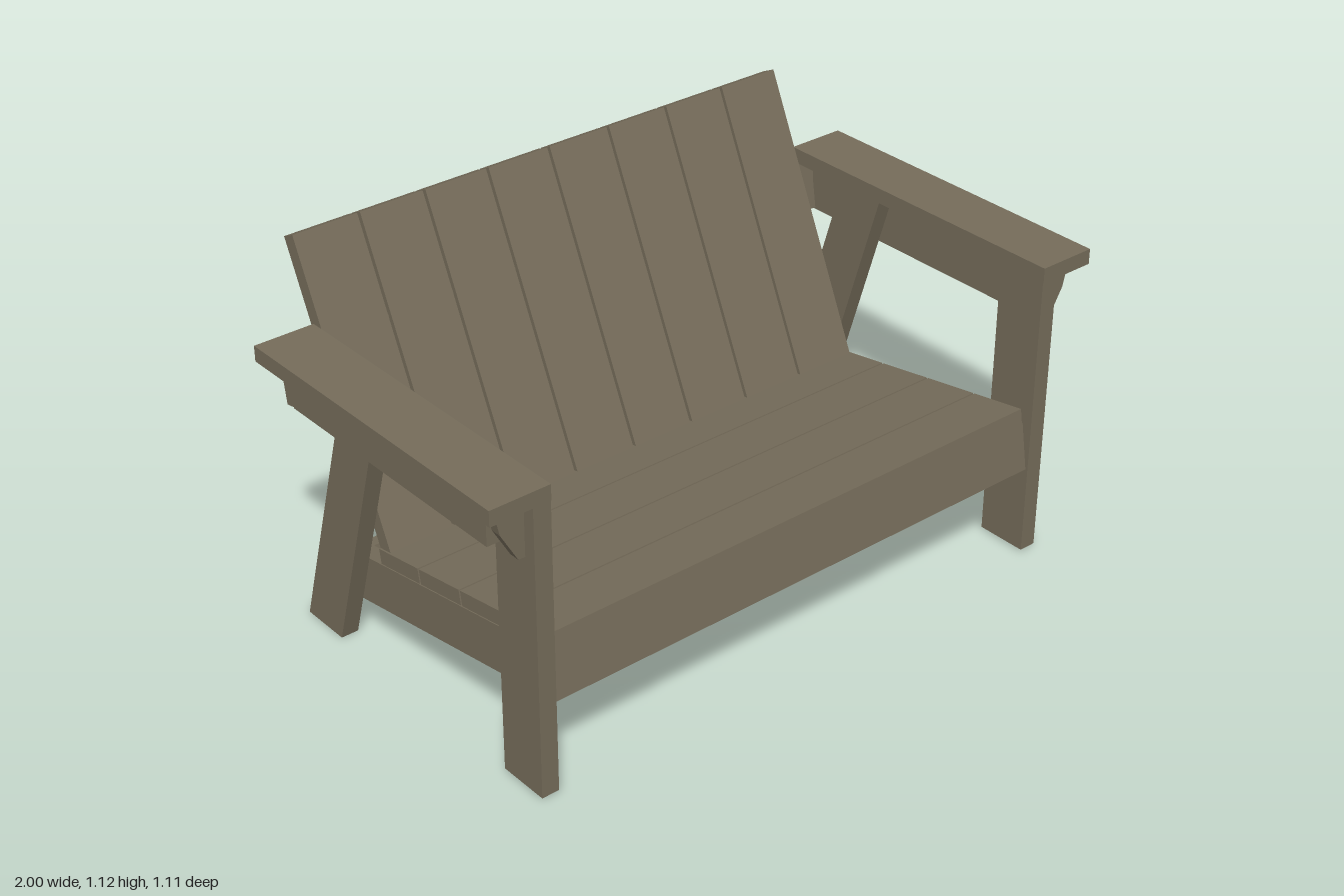
import * as THREE from 'three';

const wood = new THREE.MeshStandardMaterial({ color: 0x756c5a, flatShading: true });

function add(parent, name, geometry) {
  const mesh = new THREE.Mesh(geometry, wood);
  mesh.name = name;
  parent.add(mesh);
  return mesh;
}

// Plank given by its limits along each axis
function plank(parent, name, [x0, x1], [y0, y1], [z0, z1]) {
  const g = new THREE.BoxGeometry(x1 - x0, y1 - y0, z1 - z0);
  g.translate((x0 + x1) / 2, (y0 + y1) / 2, (z0 + z1) / 2);
  return add(parent, name, g);
}

// Straight-sided outline extruded to a depth
function extrude(points, depth) {
  const shape = new THREE.Shape(points.map(([a, b]) => new THREE.Vector2(a, b)));
  return new THREE.ExtrudeGeometry(shape, { depth, bevelEnabled: false });
}

// Tilted sub-assembly hinged on a line parallel to x
function tilted(parent, name, y, z, angle) {
  const group = new THREE.Group();
  group.name = name;
  group.position.set(0, y, z);
  group.rotation.x = angle;
  parent.add(group);
  return group;
}

const side = (s, a, b) => (s > 0 ? [a, b] : [-b, -a]);

export function createModel() {
  const bench = new THREE.Group();
  bench.name = 'gardenBench';

  for (const s of [1, -1]) {
    const label = s > 0 ? 'left' : 'right';
    const end = new THREE.Group();
    end.name = label + 'End';
    bench.add(end);

    plank(end, 'frontLeg', side(s, 0.823, 0.875), [0.005, 0.855], [0.4, 0.553]);
    plank(end, 'armrest', side(s, 0.823, 1), [0.855, 0.9], [-0.432, 0.555]);
    plank(end, 'armRail', side(s, 0.875, 0.92), [0.702, 0.855], [-0.4, 0.427]);

    // Raked back leg, cut level at the foot and under the arm
    const leg = extrude([[-0.33, 0], [-0.487, 0], [-0.224, 0.855], [-0.072, 0.855]], 0.052);
    leg.rotateY(-Math.PI / 2);
    leg.translate(side(s, 0.823, 0.875)[1], 0, 0);
    add(end, 'backLeg', leg);

    // Small bracket under the front of the arm
    const bracket = extrude(
      [[0.875, 0.702], [0.895, 0.702], [0.945, 0.79], [0.96, 0.855], [0.875, 0.855]]
        .map(([x, y]) => [s * x, y]), 0.031);
    bracket.translate(0, 0, 0.486);
    add(end, 'armBracket', bracket);
  }

  // Seat, sloping down to the back
  const seat = tilted(bench, 'seat', 0.387, 0.4, -0.168);
  for (let i = 0; i < 4; i++) {
    const front = 0.124 - i * 0.183;
    plank(seat, 'seatSlat', [-0.82, 0.82], [0, 0.044], [front - 0.177, front]);
  }
  plank(seat, 'frontApron', [-0.823, 0.823], [-0.14, 0], [0.079, 0.124]);
  plank(seat, 'backStretcher', [-0.772, 0.772], [-0.14, 0], [-0.756, -0.711]);
  for (const s of [1, -1]) {
    plank(seat, 'sideStretcher', side(s, 0.772, 0.823), [-0.14, 0], [-0.756, 0.079]);
  }

  // Reclined backrest
  const back = tilted(bench, 'backrest', 0.335, -0.155, -0.431);
  for (let i = 0; i < 8; i++) {
    const x = (i - 3.5) * 0.2047;
    plank(back, 'backSlat', [x - 0.098, x + 0.098], [0, 0.861], [-0.045, 0]);
  }

  // Cross board carrying the backrest between the arm rails
  const cross = tilted(bench, 'backSupport', 0.7, -0.43, -0.16);
  plank(cross, 'crossBoard', [-0.92, 0.92], [0, 0.155], [0, 0.045]);

  return bench;
}
